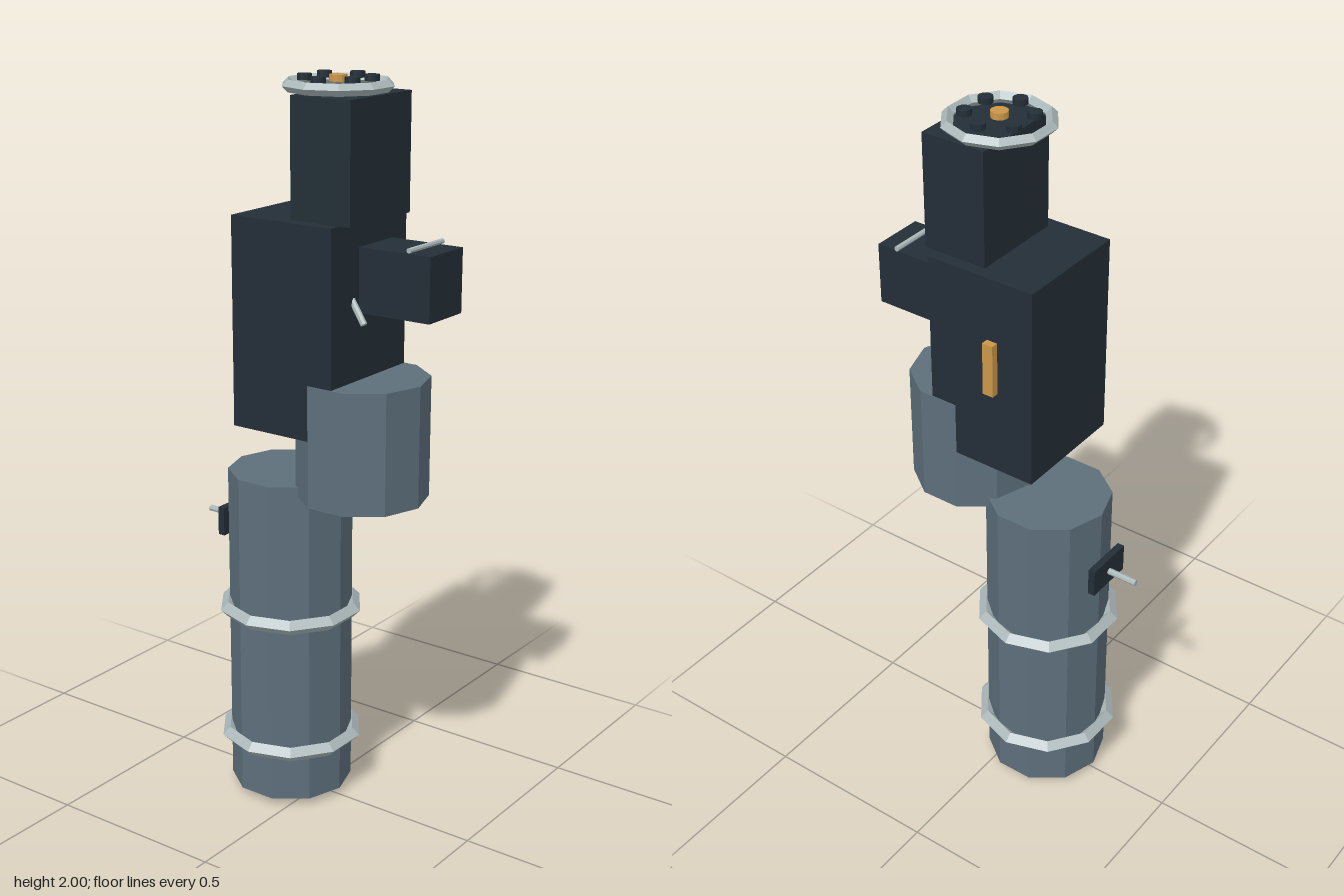
import * as THREE from 'three';

export function createModel() {
  const model = new THREE.Group();
  model.name = 'steppedDevice';

  const material = (name, color) => {
    const m = new THREE.MeshStandardMaterial({ color, flatShading: true });
    m.name = name;
    return m;
  };
  const dark = material('dark housing', 0x232e37);
  const steel = material('blue grey steel', 0x5d6f7b);
  const silver = material('pale metal', 0xabb8ba);
  const brass = material('brass', 0xcb9748);

  const add = (name, geometry, mat, x, y, z) => {
    const mesh = new THREE.Mesh(geometry, mat);
    mesh.name = name;
    mesh.position.set(x, y, z);
    model.add(mesh);
    return mesh;
  };
  // Box given by its limits on each axis
  const box = (name, mat, [x0, x1], [y0, y1], [z0, z1]) =>
    add(name, new THREE.BoxGeometry(x1 - x0, y1 - y0, z1 - z0), mat,
      (x0 + x1) / 2, (y0 + y1) / 2, (z0 + z1) / 2);
  // Upright prism between two heights
  const drum = (name, mat, r, y0, y1, x, z, sides = 10) =>
    add(name, new THREE.CylinderGeometry(r, r, y1 - y0, sides), mat, x, (y0 + y1) / 2, z);
  // Horizontal ring with a diamond section
  const ring = (name, r, tube, y, z) => {
    const mesh = add(name, new THREE.TorusGeometry(r, tube, 4, 10), silver, 0, y, z);
    mesh.rotation.x = Math.PI / 2;
  };
  // Thin rod between two points
  const rod = (name, a, b, r) => {
    const p = new THREE.Vector3(...a), q = new THREE.Vector3(...b);
    const d = q.clone().sub(p);
    const mid = p.clone().add(q).multiplyScalar(0.5);
    const mesh = add(name, new THREE.CylinderGeometry(r, r, d.length(), 8), silver, ...mid.toArray());
    mesh.quaternion.setFromUnitVectors(new THREE.Vector3(0, 1, 0), d.normalize());
  };

  // Lower grip with its base cap and bands
  const gripZ = -0.092;
  drum('baseCap', dark, 0.118, 0, 0.03, 0, gripZ);
  drum('lowerGrip', steel, 0.169, 0.02, 0.94, 0, gripZ);
  ring('lowerBand', 0.18, 0.021, 0.167, gripZ);
  ring('upperBand', 0.18, 0.021, 0.547, gripZ);

  // Rear plate and handle
  box('rearPlate', dark, [-0.07, 0.07], [0.725, 0.805], [-0.29, -0.27]);
  rod('rearHandle', [0, 0.764, -0.25], [0, 0.764, -0.375], 0.009);

  // Front drum and stacked housings
  drum('frontDrum', steel, 0.176, 0.913, 1.24, 0, 0.146);
  box('mainHousing', dark, [-0.165, 0.165], [1.092, 1.65], [-0.151, 0.162]);
  box('upperHousing', dark, [-0.132, 0.132], [1.65, 1.957], [0.013, 0.194]);
  box('frontHousing', dark, [-0.046, 0.103], [1.418, 1.586], [0.16, 0.373]);

  // Small fittings
  rod('frontRail', [-0.046, 1.594, 0.31], [0.107, 1.594, 0.31], 0.007);
  rod('frontLever', [-0.067, 1.455, 0.155], [-0.075, 1.397, 0.199], 0.009);
  box('sidePlate', brass, [0.16, 0.185], [1.328, 1.476], [-0.047, -0.016]);

  // Crown of studs inside a ring
  const crownZ = 0.063;
  ring('crownRing', 0.13, 0.0155, 1.974, crownZ);
  drum('crownCentre', brass, 0.0225, 1.982, 1.999, 0, crownZ, 12);
  for (let i = 0; i < 6; i++) {
    const a = i * Math.PI / 3;
    drum('crownStud' + (i + 1), dark, 0.019, 1.984, 2,
      0.084 * Math.cos(a), crownZ + 0.084 * Math.sin(a), 12);
  }

  return model;
}
